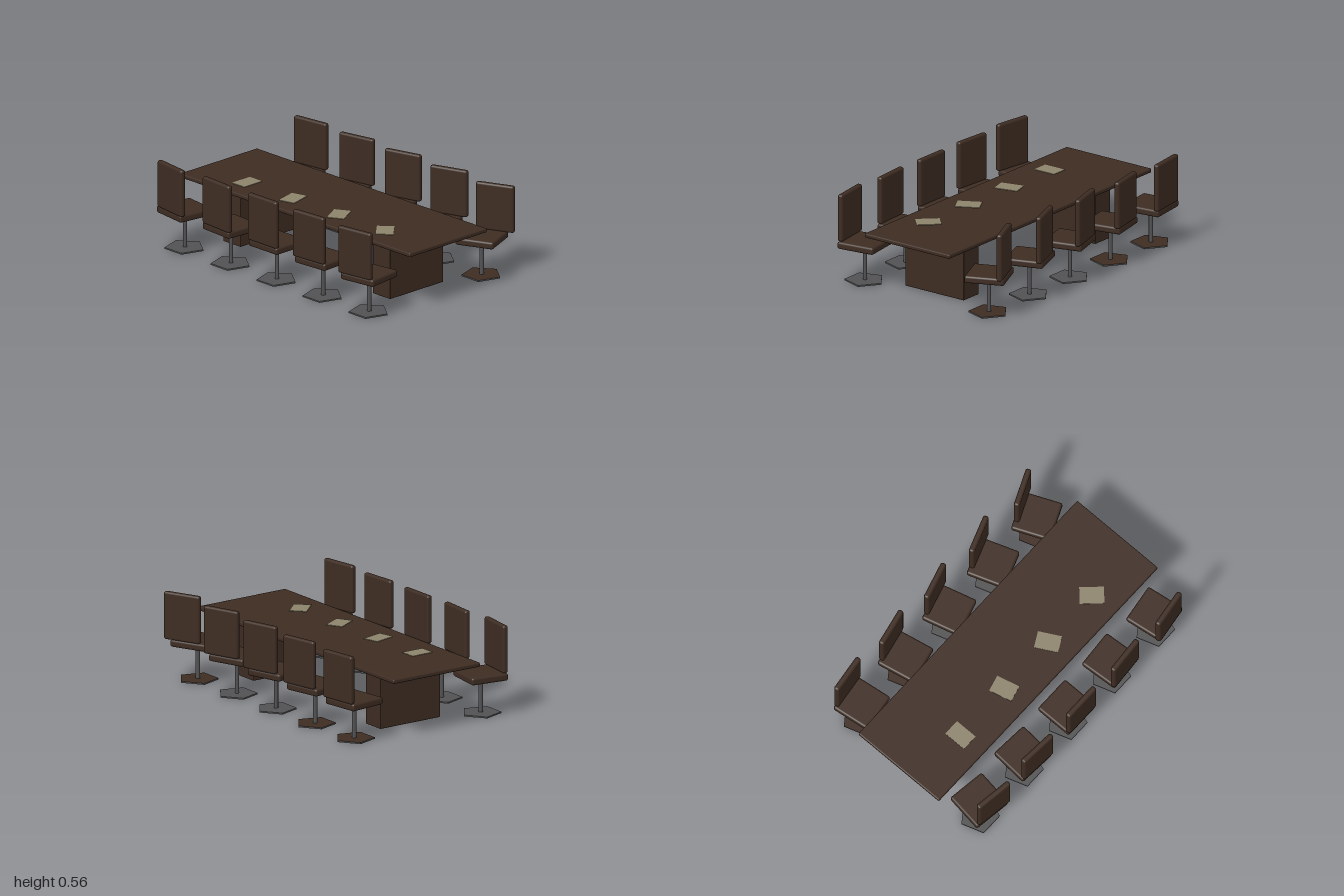
import * as THREE from 'three';
import { RoundedBoxGeometry } from 'three/addons/geometries/RoundedBoxGeometry.js';

export function createModel() {
  const model = new THREE.Group();
  model.name = 'conferenceTable';

  const material = (name, color) => {
    const m = new THREE.MeshStandardMaterial({ color });
    m.name = name;
    return m;
  };
  const brown = material('darkBrown', 0x3d2c22);
  const metal = material('greyMetal', 0x525254);
  const cream = material('paperCream', 0x8d846c);

  const add = (parent, name, geometry, mat, x, y, z, turn = 0) => {
    const mesh = new THREE.Mesh(geometry, mat);
    mesh.name = name;
    mesh.position.set(x, y, z);
    mesh.rotation.y = turn;
    parent.add(mesh);
    return mesh;
  };

  // Table: rounded slab on two block pedestals
  add(model, 'tableTop', new RoundedBoxGeometry(2, 0.027, 0.65, 2, 0.008), brown, 0, 0.3765, 0.014);
  const pedestalGeo = new RoundedBoxGeometry(0.15, 0.364, 0.447, 2, 0.004);
  for (const side of [-1, 1]) {
    add(model, 'pedestal', pedestalGeo, brown, side * 0.65, 0.182, 0.015);
  }

  // Papers, each turned a little further than the last
  const paperGeo = new THREE.BoxGeometry(0.107, 0.004, 0.15);
  for (let i = 0; i < 4; i++) {
    add(model, 'paper', paperGeo, cream, -0.6 + i * 0.4, 0.391, 0.16, i * 0.25);
  }

  // Shared chair geometry
  const seatGeo = new RoundedBoxGeometry(0.25, 0.046, 0.25, 3, 0.014);
  const backGeo = new RoundedBoxGeometry(0.25, 0.3, 0.036, 3, 0.014);
  const stemGeo = new THREE.CylinderGeometry(0.0135, 0.0135, 0.2, 12);
  const baseGeo = new THREE.CylinderGeometry(0.125, 0.125, 0.009, 5).toNonIndexed();
  baseGeo.computeVertexNormals();

  // side is +1 for the front row and -1 for the rear row
  const addChair = (x, z, side, turn, baseTop) => {
    const chair = new THREE.Group();
    chair.name = 'chair';
    chair.position.set(x, 0, z);
    add(chair, 'base', baseGeo, [metal, baseTop, metal], 0, 0.0045, 0, Math.PI);
    add(chair, 'stem', stemGeo, metal, 0, 0.109, 0);
    add(chair, 'seat', seatGeo, brown, 0, 0.241, 0, turn);
    add(chair, 'backrest', backGeo, brown, 0, 0.41, side * 0.115, turn);
    model.add(chair);
  };

  // Two rows of five chairs, with slightly varied swivel
  const rearTops = [brown, brown, metal, metal, brown];
  for (let i = 0; i < 5; i++) {
    const x = (i - 2) * 0.4;
    addChair(x, 0.488, 1, (i - 2) * 0.07, metal);
    addChair(x, -0.46, -1, 0.13 + i * 0.07, rearTops[i]);
  }

  return model;
}
